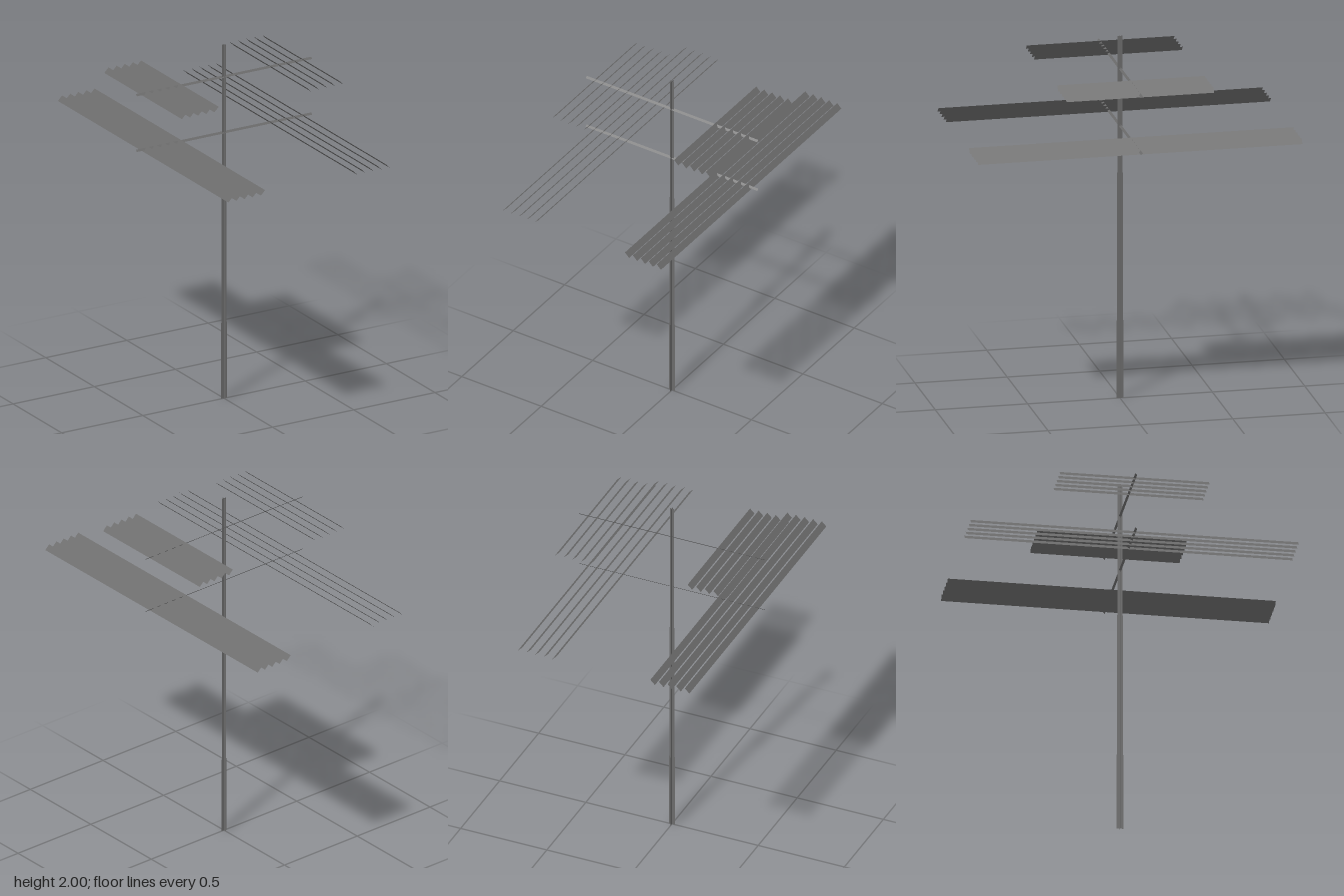
import * as THREE from 'three';

export function createModel() {
  const model = new THREE.Group();
  model.name = 'slattedPole';

  const steel = new THREE.MeshStandardMaterial({ color: 0x6a6a6a, side: THREE.DoubleSide });
  steel.name = 'grey steel';

  const add = (parent, name, geometry, x, y, z) => {
    const mesh = new THREE.Mesh(geometry, steel);
    mesh.name = name;
    mesh.position.set(x, y, z);
    parent.add(mesh);
  };

  // Mast: three stepped sections, each made of two crossed sheets
  const mast = new THREE.Group();
  mast.name = 'mast';
  model.add(mast);
  const sections = [
    ['lowerMast', 0, 0.43, 0.036],
    ['middleMast', 0.43, 1.245, 0.03],
    ['upperMast', 1.245, 2, 0.026],
  ];
  for (const [name, bottom, top, width] of sections) {
    for (const turn of [0, Math.PI / 2]) {
      const sheet = new THREE.PlaneGeometry(width, top - bottom).rotateY(turn);
      add(mast, name, sheet, 0, (bottom + top) / 2, 0);
    }
  }

  // Two tiers: a thin tilted crossarm carrying five tilted slats on each side
  const tiers = [
    ['lowerTier', 1.505, 1.756],
    ['upperTier', 1.82, 0.8],
  ];
  for (const [name, y, length] of tiers) {
    const tier = new THREE.Group();
    tier.name = name;
    tier.position.y = y;
    model.add(tier);

    add(tier, 'crossarm', new THREE.PlaneGeometry(1.08, 0.014).rotateX(-Math.PI / 4), 0, 0, 0);

    for (const side of [-1, 1]) {
      // Slats slope down and outward
      const slat = new THREE.PlaneGeometry(0.037, length)
        .rotateX(-Math.PI / 2)
        .rotateZ(-side * Math.PI / 4);
      for (let i = 0; i < 5; i++) {
        add(tier, side > 0 ? 'leftSlat' : 'rightSlat', slat, side * (0.285 + i * 0.05), 0, 0);
      }
    }
  }

  return model;
}
